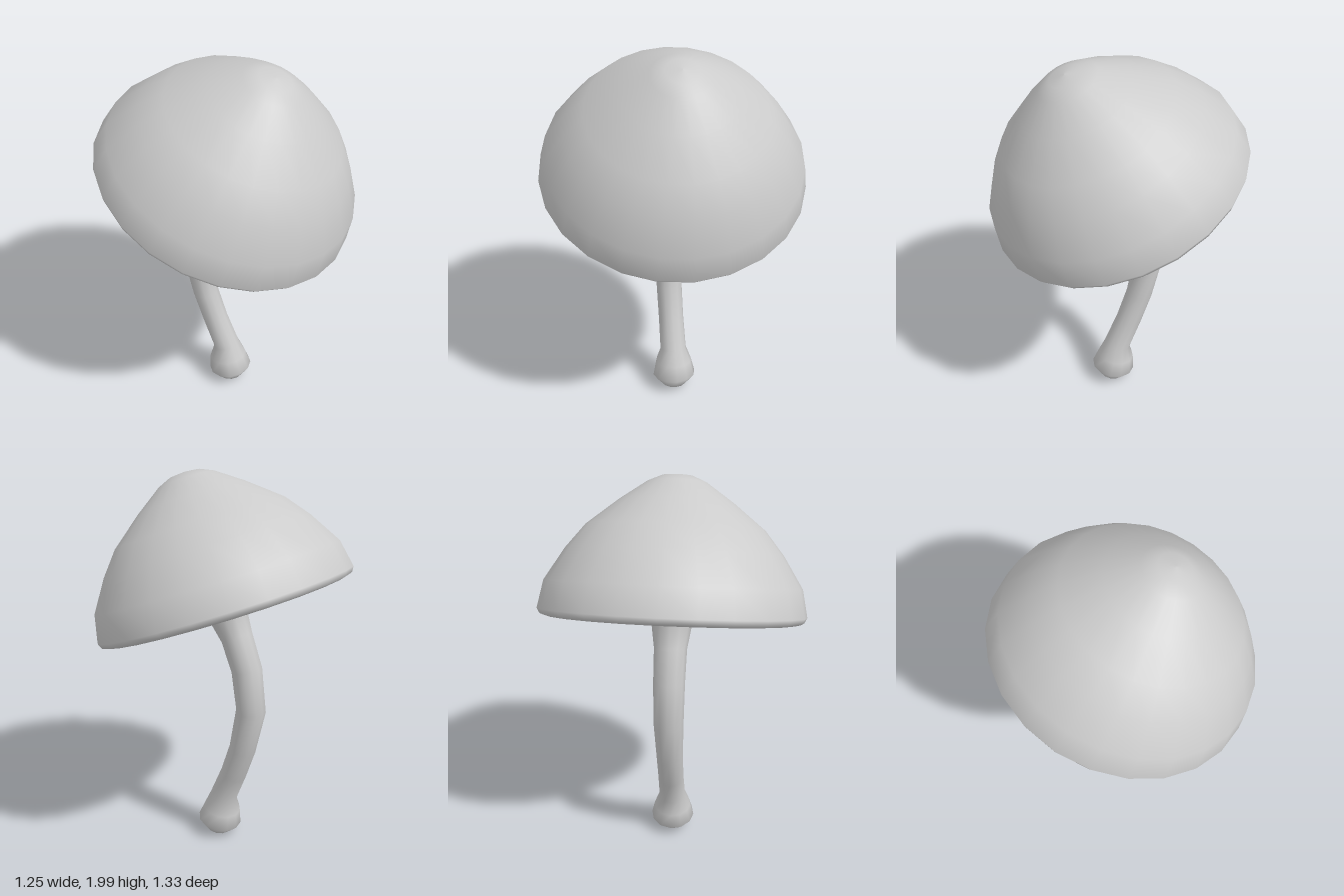
import * as THREE from 'three';

const material = new THREE.MeshStandardMaterial({ color: 0xcccccc });
const thin = new THREE.MeshStandardMaterial({ color: 0xcccccc, side: THREE.DoubleSide });

function addMesh(parent, name, geometry, mat = material) {
  const mesh = new THREE.Mesh(geometry, mat);
  mesh.name = name;
  parent.add(mesh);
  return mesh;
}

const toPoints = (list) => list.map(([x, y]) => new THREE.Vector2(x, y));

// Round tube through rings [x, y, radius] that bends in the xy plane
function sweep(rings, sides) {
  const positions = [];
  const index = [];
  rings.forEach(([x, y, r], i) => {
    const p = rings[Math.max(i - 1, 0)];
    const q = rings[Math.min(i + 1, rings.length - 1)];
    const t = new THREE.Vector2(q[0] - p[0], q[1] - p[1]).normalize();
    for (let j = 0; j < sides; j++) {
      const a = (j / sides) * Math.PI * 2;
      const c = Math.cos(a) * r;
      positions.push(x + t.y * c, y - t.x * c, Math.sin(a) * r);
      if (i === rings.length - 1) continue;
      const k = i * sides + j;
      const n = i * sides + ((j + 1) % sides);
      index.push(k, k + sides, n, n, k + sides, n + sides);
    }
  });
  const geometry = new THREE.BufferGeometry();
  geometry.setAttribute('position', new THREE.Float32BufferAttribute(positions, 3));
  geometry.setIndex(index);
  geometry.computeVertexNormals();
  return geometry;
}

export function createModel() {
  const model = new THREE.Group();
  model.name = 'mushroom';

  // Bent stem with a bulb at the foot and a flare under the cap
  addMesh(model, 'stem', sweep([
    [0.035, 0.008, 0.001], [0.031, 0.024, 0.066], [0.022, 0.085, 0.118],
    [0.005, 0.165, 0.1], [-0.005, 0.245, 0.072], [-0.075, 0.41, 0.069],
    [-0.135, 0.58, 0.07], [-0.188, 0.82, 0.077], [-0.157, 1.04, 0.08],
    [-0.09, 1.2, 0.083], [-0.025, 1.32, 0.104], [0, 1.385, 0.14], [0.02, 1.44, 0.16],
  ], 12));

  // Tilted cap group, origin at the centre of the widest ring
  const cap = new THREE.Group();
  cap.name = 'cap';
  cap.position.set(-0.008, 1.36, 0);
  cap.rotation.z = -0.396;
  model.add(cap);

  addMesh(cap, 'capTop', new THREE.LatheGeometry(toPoints([
    [0.623, -0.034], [0.65, -0.026], [0.664, 0], [0.635, 0.137], [0.535, 0.295],
    [0.44, 0.412], [0.28, 0.54], [0.146, 0.633], [0.08, 0.662], [0, 0.672],
  ]), 24));

  // Hollow underside
  addMesh(cap, 'capUnderside', new THREE.LatheGeometry(toPoints([
    [0, 0.1], [0.15, 0.09], [0.4, 0.05], [0.58, 0], [0.623, -0.034],
  ]), 24));

  // Thin radial gills
  const gill = new THREE.ShapeGeometry(new THREE.Shape(toPoints([
    [0.1, 0.1], [0.1, -0.025], [0.15, -0.012], [0.3, -0.003], [0.5, -0.016],
    [0.61, -0.03], [0.58, 0.005], [0.4, 0.06],
  ])));
  const gills = new THREE.Group();
  gills.name = 'gills';
  cap.add(gills);
  const count = 32;
  for (let i = 0; i < count; i++) {
    addMesh(gills, 'gill', gill, thin).rotation.y = ((i + 0.5) / count) * Math.PI * 2;
  }

  return model;
}
